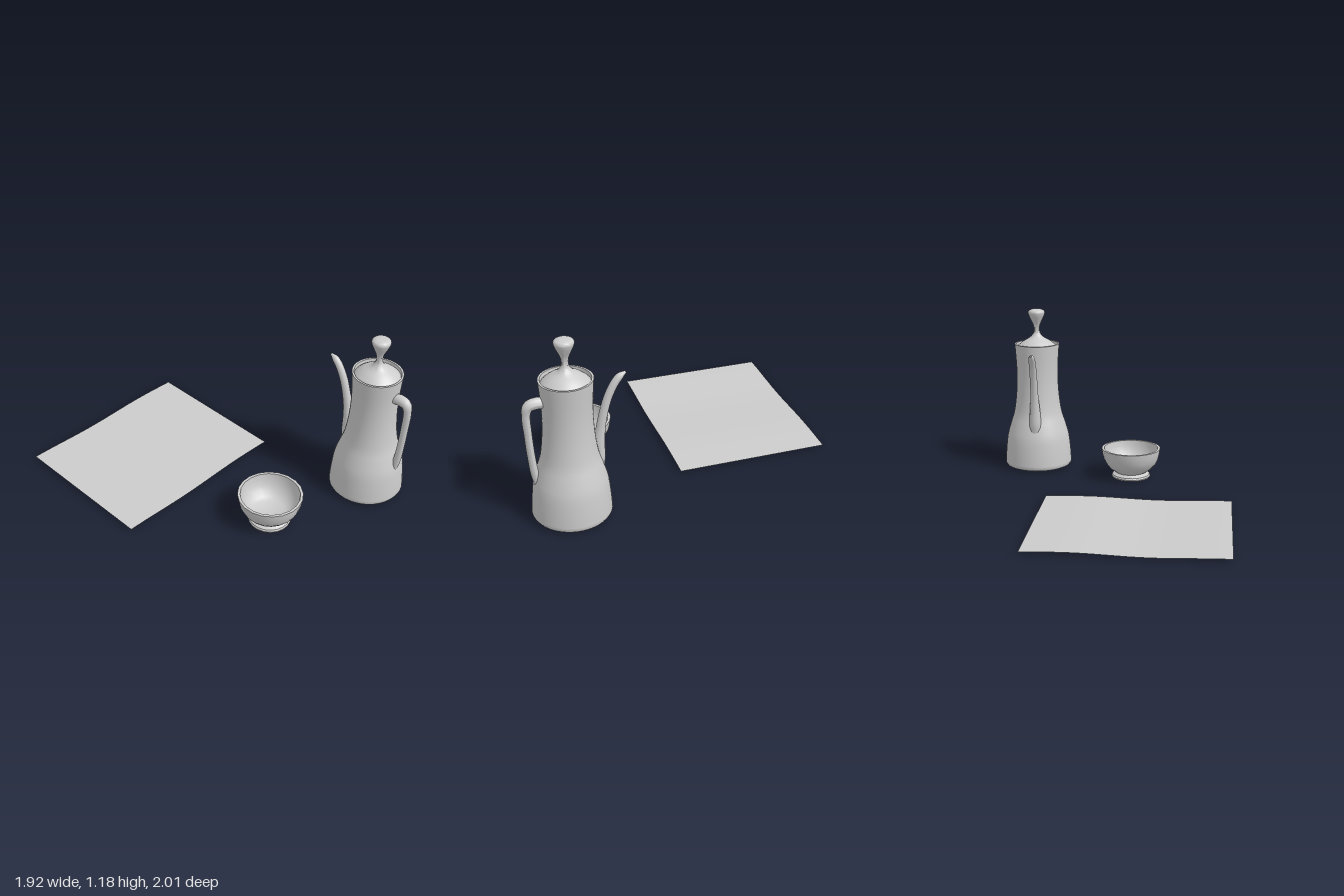
import * as THREE from 'three';
import { toCreasedNormals } from 'three/addons/utils/BufferGeometryUtils.js';

const grey = new THREE.MeshStandardMaterial({ color: 0xcccccc, side: THREE.DoubleSide });

function addMesh(parent, name, geometry) {
  const mesh = new THREE.Mesh(geometry, grey);
  mesh.name = name;
  parent.add(mesh);
  return mesh;
}

// Turned part from [radius, height] pairs, edges kept sharp past the crease angle
function turned(points, segments, crease = 0.7) {
  const profile = points.map(([r, y]) => new THREE.Vector2(r, y));
  return toCreasedNormals(new THREE.LatheGeometry(profile, segments), crease);
}

// Smooth run of [radius, height] points through a spline
function smooth(points, count) {
  return new THREE.SplineCurve(points.map(([r, y]) => new THREE.Vector2(r, y)))
    .getPoints(count).map((p) => [Math.max(p.x, 0), p.y]);
}

// Tube in the x = 0 plane through [z, y, radius] stations
function taperedTube(stations, steps, sides) {
  const path = new THREE.CatmullRomCurve3(stations.map(([z, y]) => new THREE.Vector3(0, y, z)));
  const geo = new THREE.TubeGeometry(path, steps, 1, sides);
  const pos = geo.attributes.position;
  const v = new THREE.Vector3();
  for (let i = 0; i <= steps; i++) {
    const centre = path.getPointAt(i / steps);
    const t = path.getUtoTmapping(i / steps) * (stations.length - 1);
    const k = Math.min(Math.floor(t), stations.length - 2);
    const radius = THREE.MathUtils.lerp(stations[k][2], stations[k + 1][2], t - k);
    for (let j = 0; j <= sides; j++) {
      const n = i * (sides + 1) + j;
      v.fromBufferAttribute(pos, n).sub(centre).multiplyScalar(radius).add(centre);
      pos.setXYZ(n, v.x, v.y, v.z);
    }
  }
  geo.computeVertexNormals();
  return geo;
}

function createPot() {
  const pot = new THREE.Group();
  pot.name = 'coffeePot';

  // Body: rounded foot, flared belly, narrow neck and open rim
  const wall = smooth([[0.247, 0.035], [0.241, 0.13], [0.228, 0.24], [0.203, 0.33], [0.178, 0.41],
    [0.163, 0.5], [0.154, 0.6], [0.151, 0.7], [0.154, 0.8], [0.163, 0.93]], 36);
  addMesh(pot, 'potBody', turned([[0, 0.004], [0.17, 0.004], [0.215, 0.01], [0.238, 0.02],
    ...wall, [0.15, 0.93], [0.144, 0.89]], 48));

  // Lid: shallow dome recessed in the rim, rising to a knob
  addMesh(pot, 'lid', turned(smooth([[0.148, 0.905], [0.128, 0.925], [0.095, 0.95], [0.05, 0.977],
    [0.027, 1.005], [0.021, 1.035], [0.026, 1.07], [0.046, 1.115], [0.06, 1.15], [0.058, 1.17],
    [0.035, 1.182], [0, 1.185]], 44), 32, 1.2));

  // Handle: out from the neck, then down to the belly
  addMesh(pot, 'handle', taperedTube([[0.12, 0.795, 0.034], [0.185, 0.802, 0.036], [0.229, 0.79, 0.034],
    [0.245, 0.74, 0.026], [0.241, 0.6, 0.024], [0.231, 0.45, 0.024], [0.216, 0.32, 0.025],
    [0.195, 0.24, 0.025]], 44, 14));

  // Spout: rises from the belly and curves away
  addMesh(pot, 'spout', taperedTube([[-0.165, 0.25, 0.04], [-0.178, 0.36, 0.044], [-0.184, 0.46, 0.038],
    [-0.199, 0.56, 0.029], [-0.22, 0.66, 0.027], [-0.251, 0.76, 0.026], [-0.295, 0.845, 0.025],
    [-0.328, 0.882, 0.023], [-0.363, 0.903, 0.007]], 44, 14));

  pot.position.set(0.712, 0, 0.735);
  pot.rotation.y = 0.19;
  return pot;
}

function createCup() {
  const cup = new THREE.Group();
  cup.name = 'cup';
  // Flared foot, pinched neck, bowl, thick rim and hollow inside
  addMesh(cup, 'cupBowl', turned([[0, 0.004], [0.138, 0.004], [0.141, 0.014], [0.135, 0.025],
    [0.112, 0.033], [0.106, 0.04], [0.125, 0.052], [0.155, 0.075], [0.18, 0.105], [0.197, 0.14],
    [0.207, 0.18], [0.213, 0.218], [0.195, 0.218], [0.189, 0.18], [0.176, 0.14], [0.155, 0.105],
    [0.128, 0.08], [0.098, 0.066], [0, 0.063]], 20));
  cup.position.set(-0.03, 0, 0.612);
  return cup;
}

// Thin cloth with a slight ripple along its length
function createCloth() {
  const geo = new THREE.PlaneGeometry(1.262, 1.015, 32, 2).rotateX(-Math.PI / 2);
  const pos = geo.attributes.position;
  for (let i = 0; i < pos.count; i++) {
    const u = pos.getX(i) / 1.262 + 0.5;
    pos.setY(i, 0.02 - 0.006 * Math.sin((u - 0.2) * Math.PI * 2 / 0.75));
  }
  geo.computeVertexNormals();
  const cloth = new THREE.Mesh(geo, grey);
  cloth.name = 'cloth';
  cloth.position.set(-0.267, 0, -0.413);
  cloth.rotation.y = 0.138;
  return cloth;
}

export function createModel() {
  const model = new THREE.Group();
  model.name = 'coffeeSet';
  model.add(createPot(), createCup(), createCloth());
  return model;
}
